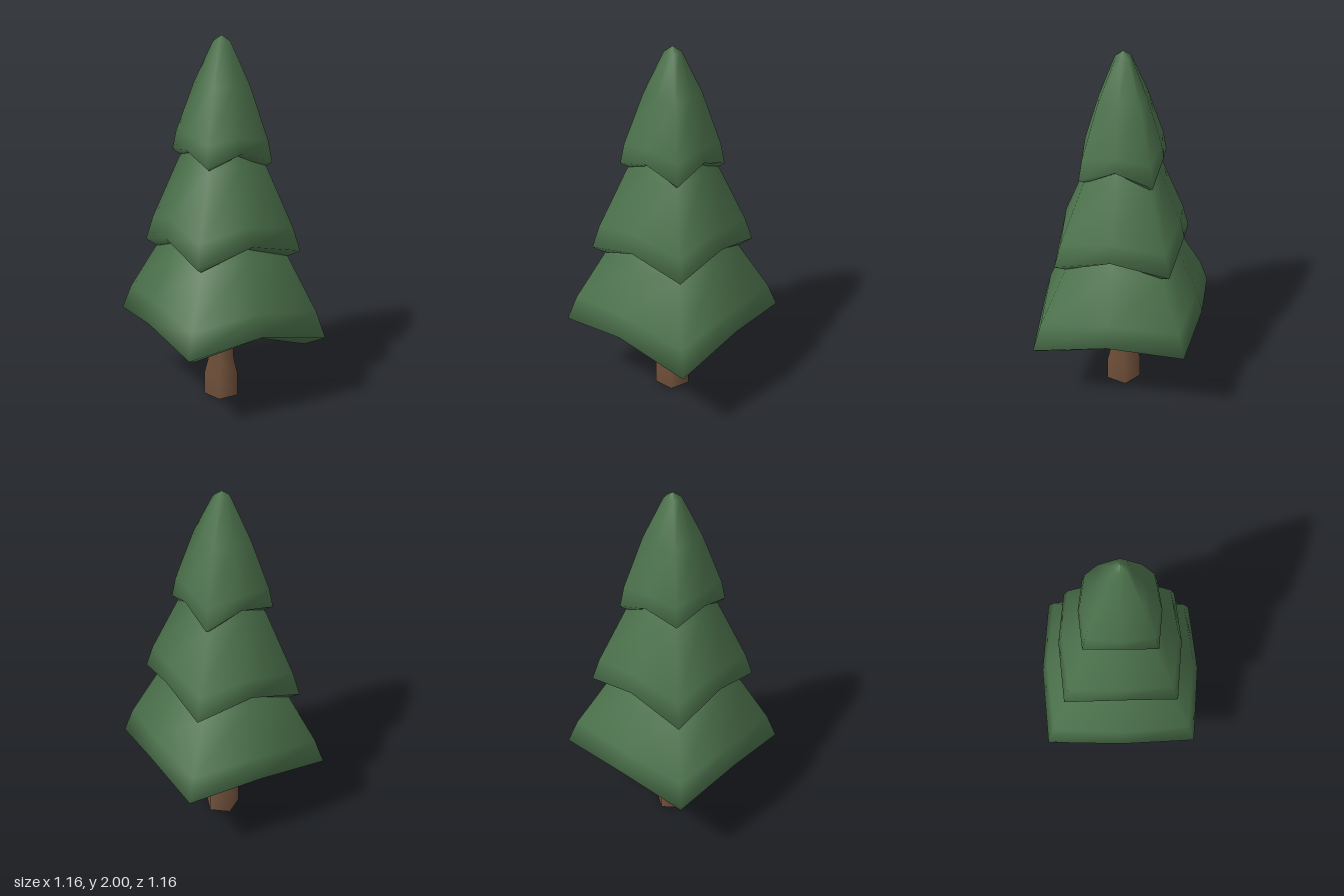
import * as THREE from 'three';

const green = new THREE.MeshStandardMaterial({ color: 0x4c724c });
green.name = 'needle green';
const brown = new THREE.MeshStandardMaterial({ color: 0x70503a });
brown.name = 'bark brown';

const SIDES = 8; // corners on the axes alternate with raised edge midpoints

// Surface through rings of points, listed bottom to top, with smooth normals
function skin(rings) {
  const index = [];
  for (let i = 0; i < rings.length - 1; i++) {
    for (let k = 0; k < SIDES; k++) {
      const a = i * SIDES + k, b = i * SIDES + (k + 1) % SIDES;
      index.push(a, a + SIDES, b, b, a + SIDES, b + SIDES);
    }
  }
  const geo = new THREE.BufferGeometry();
  geo.setAttribute('position', new THREE.Float32BufferAttribute(rings.flat(2), 3));
  geo.setIndex(index);
  geo.computeVertexNormals();
  return geo;
}

// Each row: corner radius, corner y, midpoint radius, midpoint y.
// droop: height shift of the corners at +x, +z, -x, -z, fading with row.
function makeTier(name, rows, droop, underY) {
  const rings = rows.map(([r, y, rm, ym], i) => {
    const fade = [1, 1, 0.7, 0, 0, 0][i];
    return Array.from({ length: SIDES }, (_, k) => {
      const a = k * Math.PI / 4, mid = k % 2;
      const rad = mid ? rm : r;
      return [rad * Math.cos(a), mid ? ym : y + droop[k / 2] * fade, rad * Math.sin(a)];
    });
  });
  const tier = new THREE.Group();
  tier.name = name;
  const shell = new THREE.Mesh(skin(rings), green);
  shell.name = name + 'Foliage';
  // Hollow underside rising towards the trunk
  const centre = Array.from({ length: SIDES }, () => [0, underY, 0]);
  const geo = skin([centre, rings[0]]).toNonIndexed();
  geo.computeVertexNormals();
  const under = new THREE.Mesh(geo, green);
  under.name = name + 'Underside';
  tier.add(shell, under);
  return tier;
}

export function createModel() {
  const tree = new THREE.Group();
  tree.name = 'pineTree';

  // Five-sided trunk with a flared foot
  const profile = [[0.097, 0], [0.097, 0.13], [0.073, 0.22], [0.068, 0.42], [0.066, 0.65]];
  const start = Math.PI / 20;
  const trunk = new THREE.Mesh(
    new THREE.LatheGeometry(profile.map(p => new THREE.Vector2(...p)), 5, start), brown);
  trunk.name = 'trunk';
  const base = new THREE.Mesh(new THREE.CircleGeometry(0.097, 5, start), brown);
  base.rotation.x = Math.PI / 2;
  base.name = 'trunkBase';
  tree.add(trunk, base);

  tree.add(makeTier('lowerTier', [
    [0.465, 0.385, 0.345, 0.465],
    [0.578, 0.435, 0.44, 0.50],
    [0.525, 0.57, 0.41, 0.62],
    [0.365, 0.84, 0.30, 0.87],
    [0.2, 1.06, 0.17, 1.07],
  ], [-0.035, 0.005, 0.005, 0.035], 0.55));

  tree.add(makeTier('middleTier', [
    [0.365, 0.84, 0.27, 0.93],
    [0.43, 0.875, 0.33, 0.96],
    [0.39, 1.0, 0.31, 1.06],
    [0.24, 1.33, 0.195, 1.34],
    [0.13, 1.52, 0.11, 1.53],
  ], [0.005, 0.005, -0.015, 0.015], 0.95));

  tree.add(makeTier('topTier', [
    [0.23, 1.335, 0.175, 1.405],
    [0.272, 1.36, 0.212, 1.425],
    [0.25, 1.47, 0.2, 1.5],
    [0.15, 1.75, 0.125, 1.75],
    [0.046, 1.97, 0.042, 1.97],
    [0, 2, 0, 2],
  ], [-0.01, 0.01, 0.02, -0.015], 1.43));

  return tree;
}
